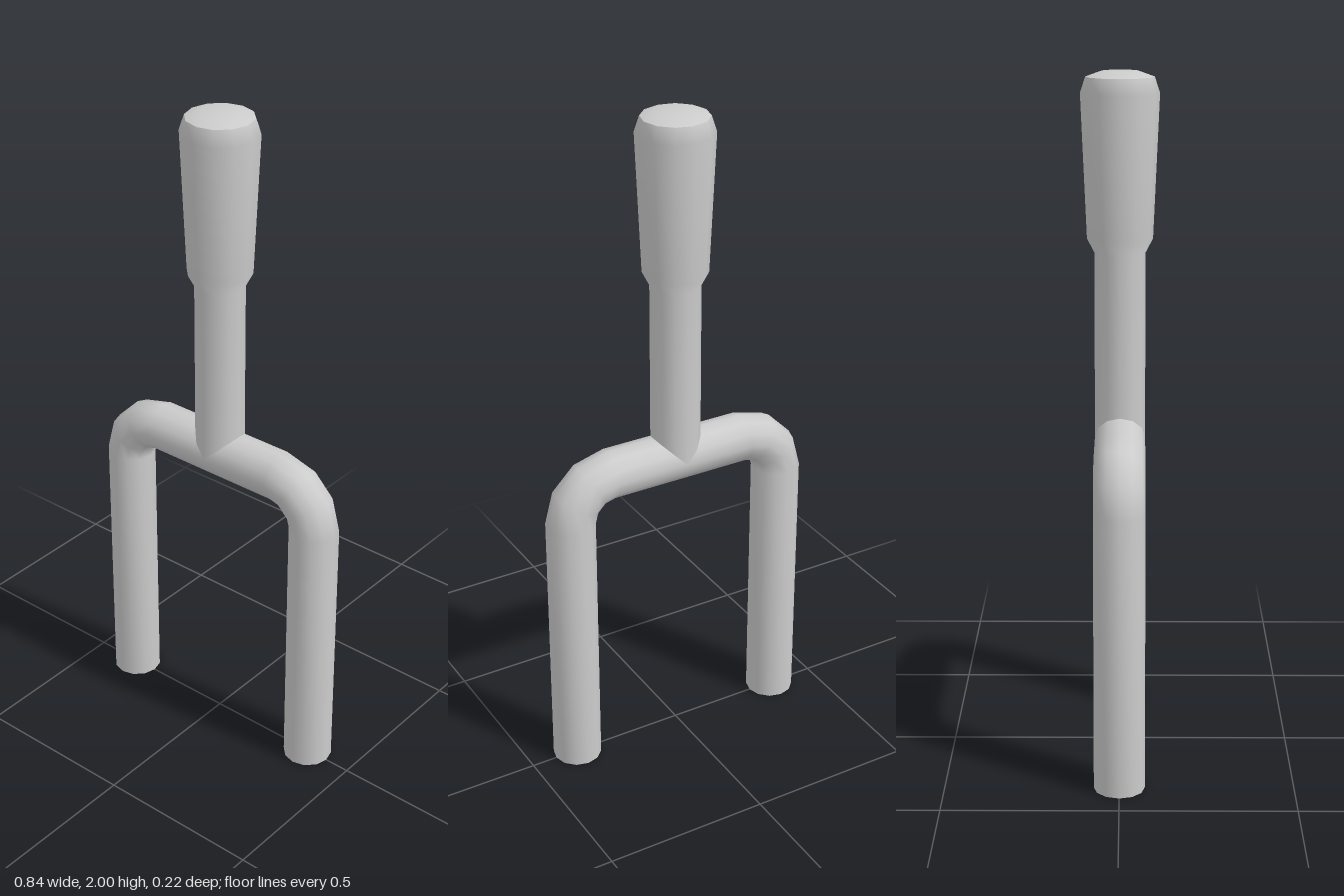
import * as THREE from 'three';

const SIDES = 12;
const R = 0.073; // tube radius

// Open round tube swept along stations lying in the XY plane.
// Each station is [x, y, angle of the outward normal].
function sweepTube(stations, radius) {
  const pos = [], idx = [];
  for (const [x, y, dir] of stations) {
    for (let j = 0; j < SIDES; j++) {
      const a = (j / SIDES) * Math.PI * 2;
      const out = radius * Math.cos(a);
      pos.push(x + out * Math.cos(dir), y + out * Math.sin(dir), radius * Math.sin(a));
    }
  }
  for (let i = 0; i < stations.length - 1; i++) {
    for (let j = 0; j < SIDES; j++) {
      const k = (j + 1) % SIDES;
      const a = i * SIDES + j, b = i * SIDES + k;
      idx.push(a, b, a + SIDES, b, b + SIDES, a + SIDES);
    }
  }
  const geo = new THREE.BufferGeometry();
  geo.setAttribute('position', new THREE.Float32BufferAttribute(pos, 3));
  geo.setIndex(idx);
  geo.computeVertexNormals();
  return geo;
}

function lathe(profile) {
  return new THREE.LatheGeometry(profile.map(([r, y]) => new THREE.Vector2(r, y)), SIDES);
}

export function createModel() {
  const group = new THREE.Group();
  const mat = new THREE.MeshStandardMaterial({ color: 0xcccccc, side: THREE.DoubleSide });
  const add = (name, geo) => {
    const mesh = new THREE.Mesh(geo, mat);
    mesh.name = name;
    group.add(mesh);
  };

  // Two-legged fork: leg, bend, crossbar, bend, leg
  const cx = 0.22, cy = 0.818, bend = 0.129, steps = 3;
  const stations = [[-cx - bend, 0, Math.PI]];
  for (const side of [-1, 1]) {
    for (let i = 0; i <= steps; i++) {
      const t = (i / steps) * Math.PI / 2;
      const a = side < 0 ? Math.PI - t : Math.PI / 2 - t;
      stations.push([side * cx + bend * Math.cos(a), cy + bend * Math.sin(a), a]);
    }
  }
  stations.push([cx + bend, 0, 0]);
  add('fork', sweepTube(stations, R));

  // Stem flaring into the tapered grip
  add('stemAndGrip', lathe([
    [R, 0.95], [R, 1.49], [0.094, 1.53], [0.112, 1.94], [0.097, 1.985],
  ]));

  // Slightly domed end of the grip
  add('gripCap', lathe([[0.097, 1.985], [0.055, 2.0], [0, 2.0]]));

  return group;
}
